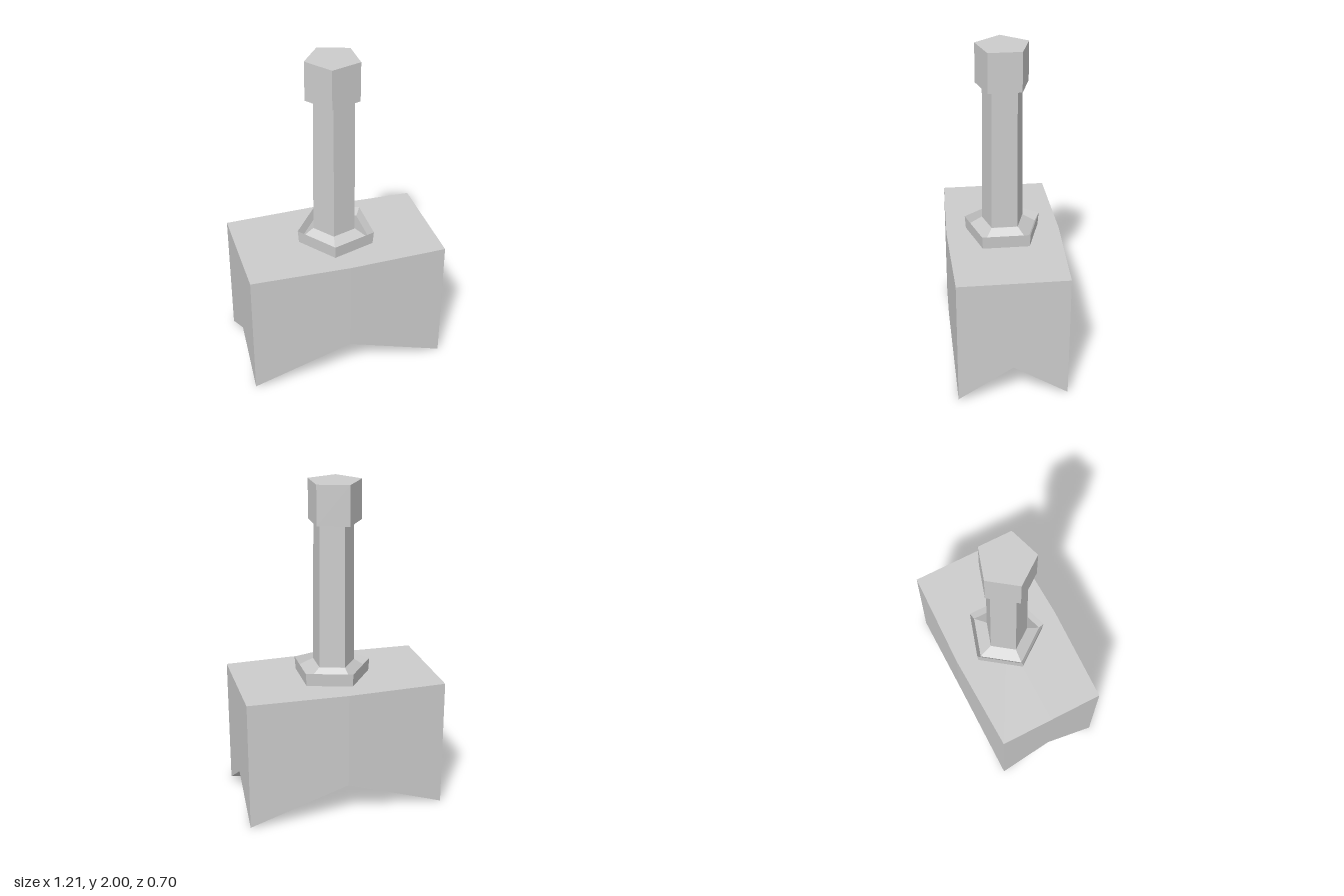
import * as THREE from 'three';

const material = new THREE.MeshStandardMaterial({ color: 0xcccccc, flatShading: true });

// Skins a stack of equal-length rings of [x, y, z] points and closes both ends.
function loft(name, rings) {
  const pos = [];
  const tri = (...pts) => pts.forEach((p) => pos.push(...p));
  const centre = (ring) => [0, 1, 2].map((k) => ring.reduce((s, p) => s + p[k], 0) / ring.length);
  const n = rings[0].length;
  const first = rings[0];
  const last = rings[rings.length - 1];
  for (let i = 0; i < n; i++) {
    const j = (i + 1) % n;
    for (let r = 0; r < rings.length - 1; r++) {
      const a = rings[r];
      const b = rings[r + 1];
      tri(a[i], b[i], a[j]);
      tri(b[i], b[j], a[j]);
    }
    tri(centre(first), first[i], first[j]);
    tri(centre(last), last[j], last[i]);
  }
  const geometry = new THREE.BufferGeometry();
  geometry.setAttribute('position', new THREE.Float32BufferAttribute(pos, 3));
  geometry.computeVertexNormals();
  const mesh = new THREE.Mesh(geometry, material);
  mesh.name = name;
  return mesh;
}

// Slightly irregular five-sided outline shared by collar, shaft and cap.
const PENTAGON = [[0.21, 0.145], [-0.06, 0.23], [-0.23, 0], [-0.06, -0.23], [0.21, -0.145]];
const pentagon = (y, scale, shift = 0) =>
  PENTAGON.map(([x, z]) => [x * scale + shift, y, z * scale]);

// Eight-point block outline: long sides bulge, and the edge height varies from corner to side middle.
const OUTLINE = [[1, 0], [1, 1], [0, 1], [-1, 1], [-1, 0], [-1, -1], [0, -1], [1, -1]];
const blockRing = (halfX, halfZ, cornerY, middleY) =>
  OUTLINE.map(([x, z]) => [
    x * halfX,
    x && z ? cornerY : middleY,
    z * halfZ * (x ? 1 : 1.055),
  ]);

export function createModel() {
  const group = new THREE.Group();
  group.name = 'pentagonalHandleBlock';

  // Hollow block with a notched lower rim, open underneath
  group.add(loft('hollowBlock', [
    blockRing(0.52, 0.285, 0.74, 0.74),
    blockRing(0.52, 0.285, 0.015, 0.2),
    blockRing(0.605, 0.33, 0, 0.21),
    blockRing(0.605, 0.33, 0.8, 0.8),
  ]));

  // Collar: raised rim, groove, then a flare up to the shaft
  group.add(loft('collar', [
    pentagon(0.79, 0.97),
    pentagon(0.88, 1),
    pentagon(0.83, 0.89),
    pentagon(0.885, 0.55, -0.005),
  ]));

  // Shaft with a slight taper
  group.add(loft('shaft', [
    pentagon(0.87, 0.545, -0.006),
    pentagon(1.77, 0.51, -0.006),
  ]));

  // Cap
  group.add(loft('cap', [
    pentagon(1.76, 0.68, -0.016),
    pentagon(2, 0.68, -0.016),
  ]));

  return group;
}
